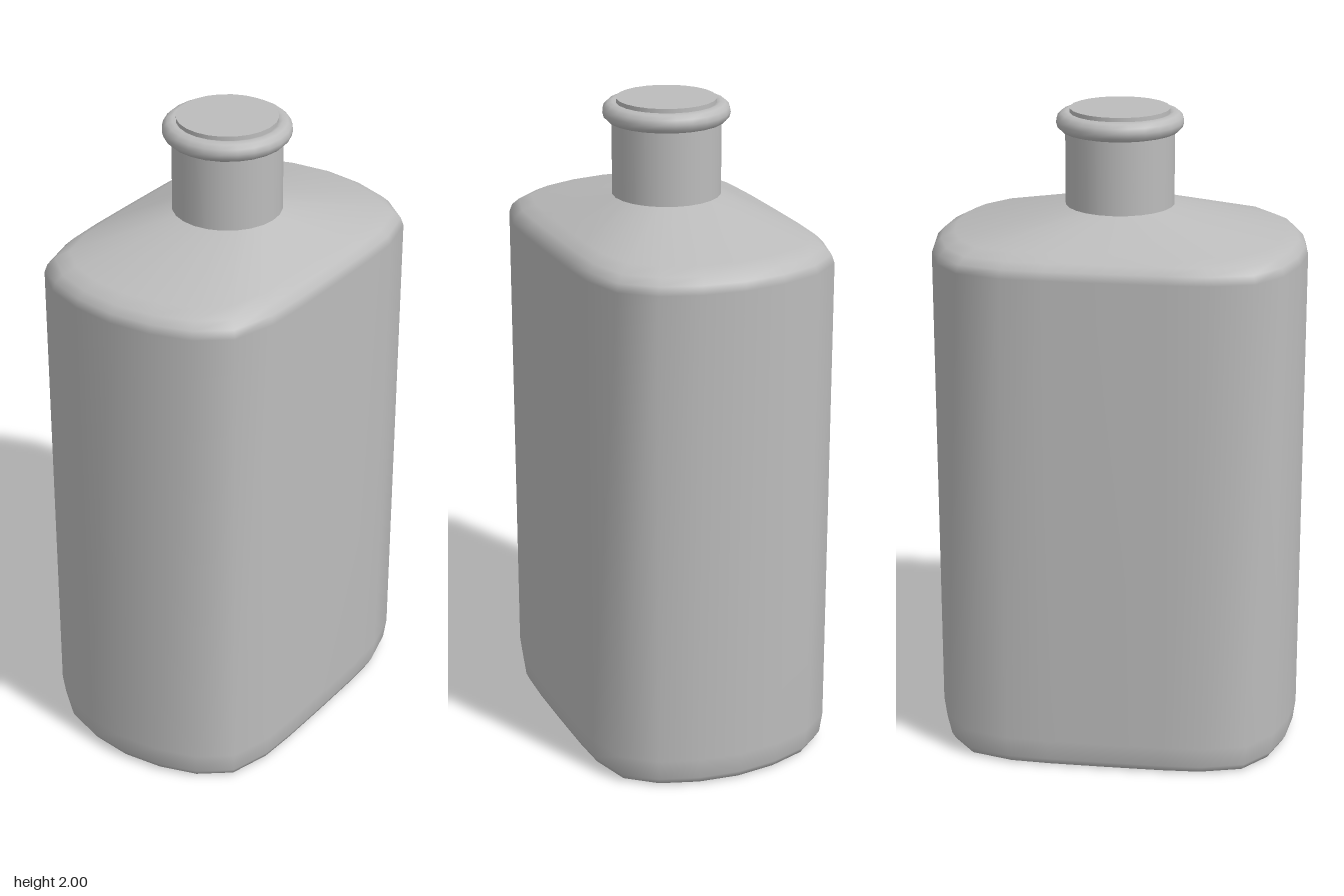
import * as THREE from 'three';

const SIDES = 24;

// One quarter of the body's footprint, from the side (+x) round to the front (+z)
const QUARTER = [
  [0.567, 0], [0.552, 0.13], [0.512, 0.25], [0.437, 0.343],
  [0.305, 0.38], [0.18, 0.386], [0, 0.387],
];

// Mirror the quarter into a full loop of 24 points
function footprint() {
  const loop = [];
  for (let j = 0; j < SIDES; j++) {
    const q = Math.floor(j / 6), k = j % 6;
    const [x, z] = QUARTER[q % 2 ? 6 - k : k];
    loop.push([q === 1 || q === 2 ? -x : x, q >= 2 ? -z : z]);
  }
  return loop;
}

// Ring of the footprint at height y, scaled in x and z
const ring = (y, sx, sz) => footprint().map(([x, z]) => [x * sx, y, z * sz]);

// Circular ring that meets the neck
const circle = (y, r) => footprint().map((_, j) => {
  const a = (j / SIDES) * Math.PI * 2;
  return [r * Math.cos(a), y, r * Math.sin(a)];
});

// Skin a stack of rings with smooth normals
function loft(rings) {
  const index = [];
  for (let i = 0; i < rings.length - 1; i++) {
    for (let j = 0; j < SIDES; j++) {
      const n = (j + 1) % SIDES;
      const a = i * SIDES + j, b = i * SIDES + n;
      const c = a + SIDES, d = b + SIDES;
      index.push(a, c, b, b, c, d);
    }
  }
  const g = new THREE.BufferGeometry();
  g.setAttribute('position', new THREE.Float32BufferAttribute(rings.flat(2), 3));
  g.setIndex(index);
  g.computeVertexNormals();
  return g;
}

export function createModel() {
  const group = new THREE.Group();
  const grey = new THREE.MeshStandardMaterial({ color: 0xbcbcbc });
  grey.name = 'grey';

  const add = (name, geometry, y = 0) => {
    const mesh = new THREE.Mesh(geometry, grey);
    mesh.name = name;
    mesh.position.y = y;
    group.add(mesh);
    return mesh;
  };

  // Body: recessed underside, rounded foot, straight wall, sloping shoulder
  add('body', loft([
    ring(0.025, 0.73, 0.68),
    ring(0.018, 0.8, 0.76),
    ring(0.004, 0.87, 0.84),
    ring(0, 0.92, 0.9),
    ring(0.005, 0.965, 0.955),
    ring(0.025, 0.985, 0.98),
    ring(0.09, 1, 1),
    ring(1.57, 1, 1),
    ring(1.595, 0.985, 0.98),
    ring(1.615, 0.95, 0.93),
    ring(1.635, 0.88, 0.84),
    circle(1.71, 0.164),
  ]));

  // Flat panel inside the foot, facing down
  const panel = new THREE.Shape(ring(0, 0.73, 0.68).map(([x, , z]) => new THREE.Vector2(x, z)));
  add('basePanel', new THREE.ShapeGeometry(panel).rotateX(Math.PI / 2), 0.025);

  // Neck, rounded lip and stopper
  add('neck', new THREE.CylinderGeometry(0.164, 0.164, 0.25, SIDES, 1, true), 1.825);
  add('lip', new THREE.TorusGeometry(0.161, 0.03, 12, SIDES).rotateX(Math.PI / 2), 1.96);
  add('stopper', new THREE.CylinderGeometry(0.15, 0.15, 0.06, SIDES), 1.97);

  return group;
}
